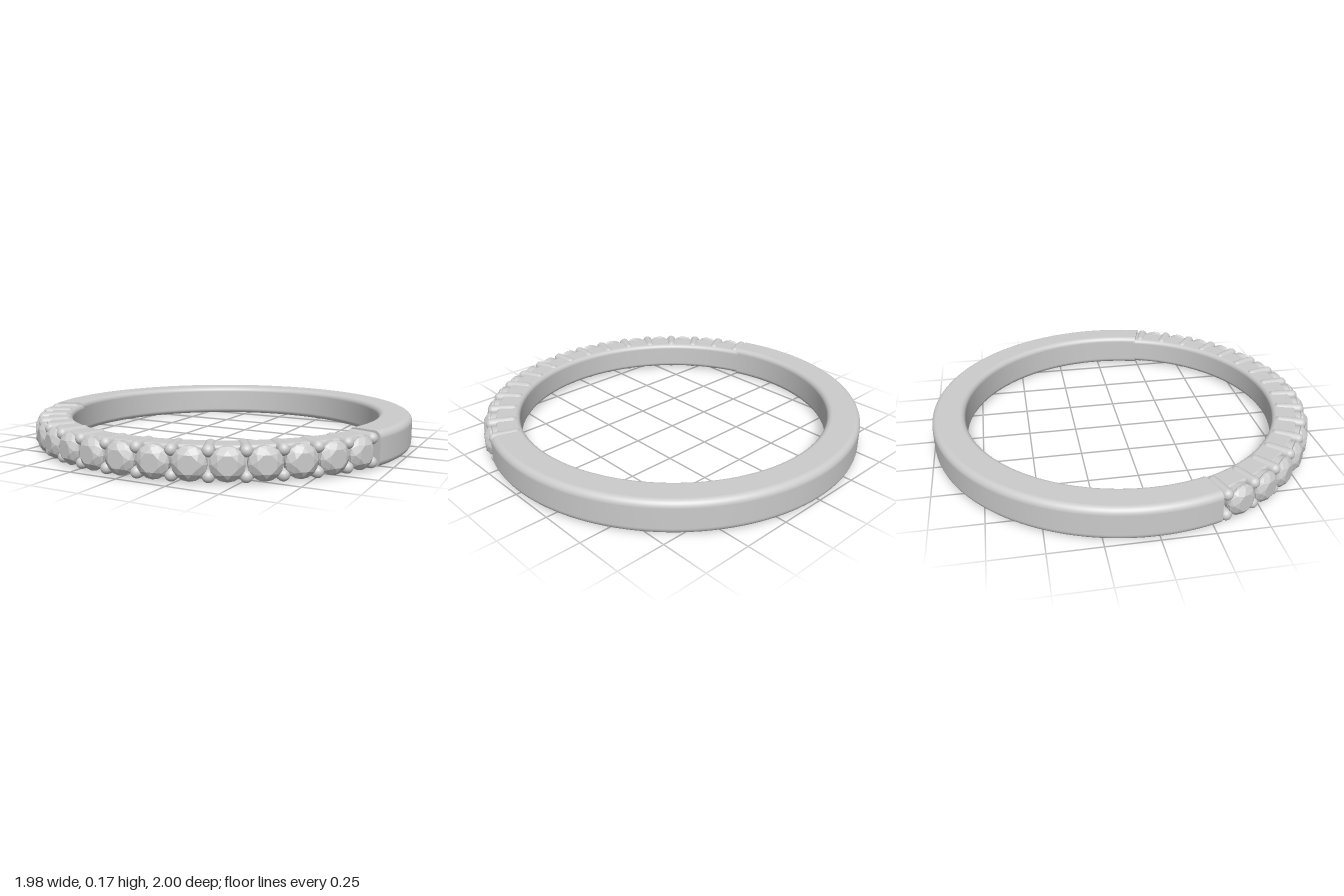
import * as THREE from 'three';
import { ConvexGeometry } from 'three/addons/geometries/ConvexGeometry.js';

const DEG = Math.PI / 180;
const MID_Y = 0.085;        // half the band height
const BAND_END = 72.5 * DEG; // angle from the front where the plain band starts
const STEP = 9.4 * DEG;      // spacing of the stones
const STONES = 15;

// Rounded rectangle in (radius, height), starting in the middle of its inner side
function bandProfile(r0, r1, y0, y1, cIn, cOut) {
  const s = new THREE.Shape();
  s.moveTo(r0, (y0 + y1) / 2);
  s.lineTo(r0, y0 + cIn);
  s.absarc(r0 + cIn, y0 + cIn, cIn, Math.PI, 1.5 * Math.PI);
  s.absarc(r1 - cOut, y0 + cOut, cOut, 1.5 * Math.PI, 2 * Math.PI);
  s.absarc(r1 - cOut, y1 - cOut, cOut, 0, 0.5 * Math.PI);
  s.absarc(r0 + cIn, y1 - cIn, cIn, 0.5 * Math.PI, Math.PI);
  s.lineTo(r0, (y0 + y1) / 2);
  return s;
}

// Drop repeated points so the lathe normals stay clean
function cleanPoints(shape) {
  return shape.getPoints(8).filter((p, i, a) => i === 0 || p.distanceTo(a[i - 1]) > 1e-5);
}

// Cut stone facing +z: octagonal table, kite facets, girdle and pointed back
function stoneGeometry() {
  const pts = [new THREE.Vector3(0, 0, -0.07)];
  const ring = (n, r, z, turn) => {
    for (let i = 0; i < n; i++) {
      const a = (i + turn) / n * 2 * Math.PI;
      pts.push(new THREE.Vector3(r * Math.cos(a), r * Math.sin(a), z));
    }
  };
  ring(8, 0.044, 0.031, 0.5);
  ring(8, 0.063, 0.019, 0);
  ring(16, 0.077, 0.003, 0);
  ring(16, 0.077, -0.006, 0);
  return new ConvexGeometry(pts);
}

export function createModel() {
  const model = new THREE.Group();
  const ring = new THREE.Group();
  ring.name = 'ring';
  ring.position.z = -0.008;
  model.add(ring);

  const smooth = new THREE.MeshStandardMaterial({ color: 0xcccccc });
  const flat = new THREE.MeshStandardMaterial({ color: 0xcccccc, flatShading: true });
  const thin = new THREE.MeshStandardMaterial({ color: 0xcccccc, side: THREE.DoubleSide });

  const add = (parent, name, geometry, material) => {
    const mesh = new THREE.Mesh(geometry, material);
    mesh.name = name;
    parent.add(mesh);
    return mesh;
  };

  // Plain rear band with closed ends
  const band = bandProfile(0.822, 0.992, 0, 0.17, 0.028, 0.034);
  add(ring, 'plainBand',
    new THREE.LatheGeometry(cleanPoints(band), 120, BAND_END, 2 * (Math.PI - BAND_END)), smooth);
  for (const side of [-1, 1]) {
    const cap = add(ring, 'bandEnd', new THREE.ShapeGeometry(band, 8), thin);
    cap.rotation.y = side * BAND_END - Math.PI / 2;
  }

  // Slimmer front rail carrying the stones
  const rail = bandProfile(0.82, 0.945, 0.012, 0.158, 0.024, 0.014);
  add(ring, 'settingRail',
    new THREE.LatheGeometry(cleanPoints(rail), 80, -BAND_END - 0.01, 2 * BAND_END + 0.02), smooth);

  // Stones in shallow cups
  const stoneGeo = stoneGeometry();
  const cupGeo = new THREE.CylinderGeometry(0.075, 0.066, 0.085, 32).rotateX(Math.PI / 2);
  for (let i = 0; i < STONES; i++) {
    const setting = new THREE.Group();
    setting.name = 'stoneSetting';
    setting.rotation.y = (i - (STONES - 1) / 2) * STEP;
    add(setting, 'stone', stoneGeo, flat).position.set(0, MID_Y, 0.977);
    add(setting, 'cup', cupGeo, smooth).position.set(0, MID_Y, 0.924);
    ring.add(setting);
  }

  // Round radial prongs between the stones, above and below
  const prongR = 0.028, inner = 0.832, outer = 0.995;
  const prongGeo = new THREE.CapsuleGeometry(prongR, outer - inner - 2 * prongR, 8, 20)
    .rotateX(Math.PI / 2);
  for (let i = 0; i <= STONES; i++) {
    const pair = new THREE.Group();
    pair.name = 'prongPair';
    pair.rotation.y = (i - STONES / 2) * STEP;
    for (const side of [-1, 1]) {
      add(pair, 'prong', prongGeo, smooth).position.set(0, MID_Y + side * 0.055, (inner + outer) / 2);
    }
    ring.add(pair);
  }

  return model;
}
